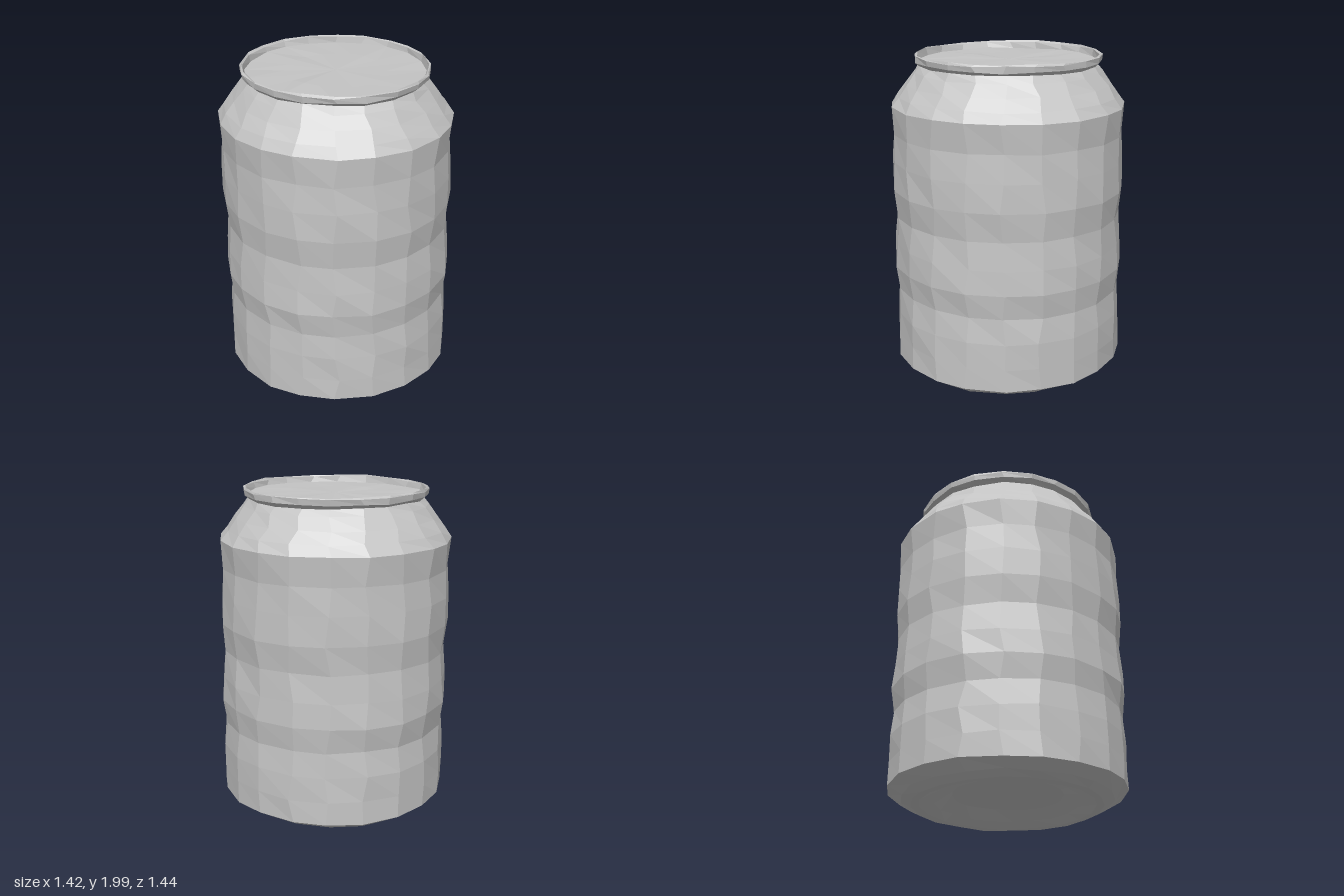
import * as THREE from 'three';

const SIDES = 20;

// Repeatable value in -1..1, so parts that share a ring meet exactly
function noise(a, b, c) {
  const s = Math.sin(a * 127.1 + b * 311.7 + c * 74.7) * 43758.5453;
  return (s - Math.floor(s)) * 2 - 1;
}

// A point on a slightly dented, hand-worn ring
function ringPoint(r, y, i) {
  const k = i % SIDES;
  const a = (k / SIDES) * Math.PI * 2;
  const dent = 1 - 0.008 * Math.cos(2 * a) + 0.006 * Math.sin(3 * a + y * 2) + 0.006 * noise(r, y, k);
  const lift = r > 0.01 ? 0.005 * noise(y, k, r) : 0;
  const turn = a + (r > 0.01 ? 0.03 * noise(k, r, y) : 0);
  return [Math.cos(turn) * r * dent - 0.006 * y, y + lift, Math.sin(turn) * r * dent - 0.003 * y];
}

// Surface swept around the axis; profile runs from bottom centre outward and up
function revolve(name, profile, material) {
  const positions = [];
  const index = [];
  for (const [r, y] of profile) {
    for (let i = 0; i < SIDES; i++) positions.push(...ringPoint(r, y, i));
  }
  for (let j = 0; j < profile.length - 1; j++) {
    for (let i = 0; i < SIDES; i++) {
      const n = (i + 1) % SIDES;
      const a = j * SIDES + i, b = j * SIDES + n;
      const c = a + SIDES, d = b + SIDES;
      if (profile[j][0] > 0) index.push(a, d, b);
      if (profile[j + 1][0] > 0) index.push(a, c, d);
    }
  }
  const geometry = new THREE.BufferGeometry();
  geometry.setAttribute('position', new THREE.Float32BufferAttribute(positions, 3));
  geometry.setIndex(index);
  geometry.computeVertexNormals();
  const mesh = new THREE.Mesh(geometry, material);
  mesh.name = name;
  return mesh;
}

export function createModel() {
  const can = new THREE.Group();
  can.name = 'can';
  const metal = new THREE.MeshStandardMaterial({ color: 0xc4c4c4, flatShading: true });
  metal.name = 'grey metal';

  // Recessed underside, foot ring and bevel
  can.add(revolve('base', [
    [0, 0.08], [0.33, 0.08], [0.44, 0.04], [0.52, 0.012], [0.57, 0.012], [0.63, 0.04], [0.71, 0.09],
  ], metal));

  // Rippled side wall
  can.add(revolve('body', [
    [0.71, 0.09], [0.708, 0.23], [0.706, 0.385], [0.695, 0.54], [0.714, 0.69], [0.706, 0.84],
    [0.693, 1.01], [0.711, 1.18], [0.708, 1.355], [0.697, 1.52], [0.71, 1.69],
  ], metal));

  // Shoulder narrowing to the neck
  can.add(revolve('shoulder', [
    [0.71, 1.69], [0.668, 1.75], [0.618, 1.82], [0.565, 1.89], [0.535, 1.93],
  ], metal));

  // Rolled rim
  can.add(revolve('rim', [
    [0.535, 1.93], [0.562, 1.95], [0.566, 1.985], [0.556, 1.994], [0.548, 1.985], [0.54, 1.95],
  ], metal));

  // Sunken lid
  can.add(revolve('lid', [
    [0.54, 1.95], [0.3, 1.952], [0, 1.952],
  ], metal));

  return can;
}
